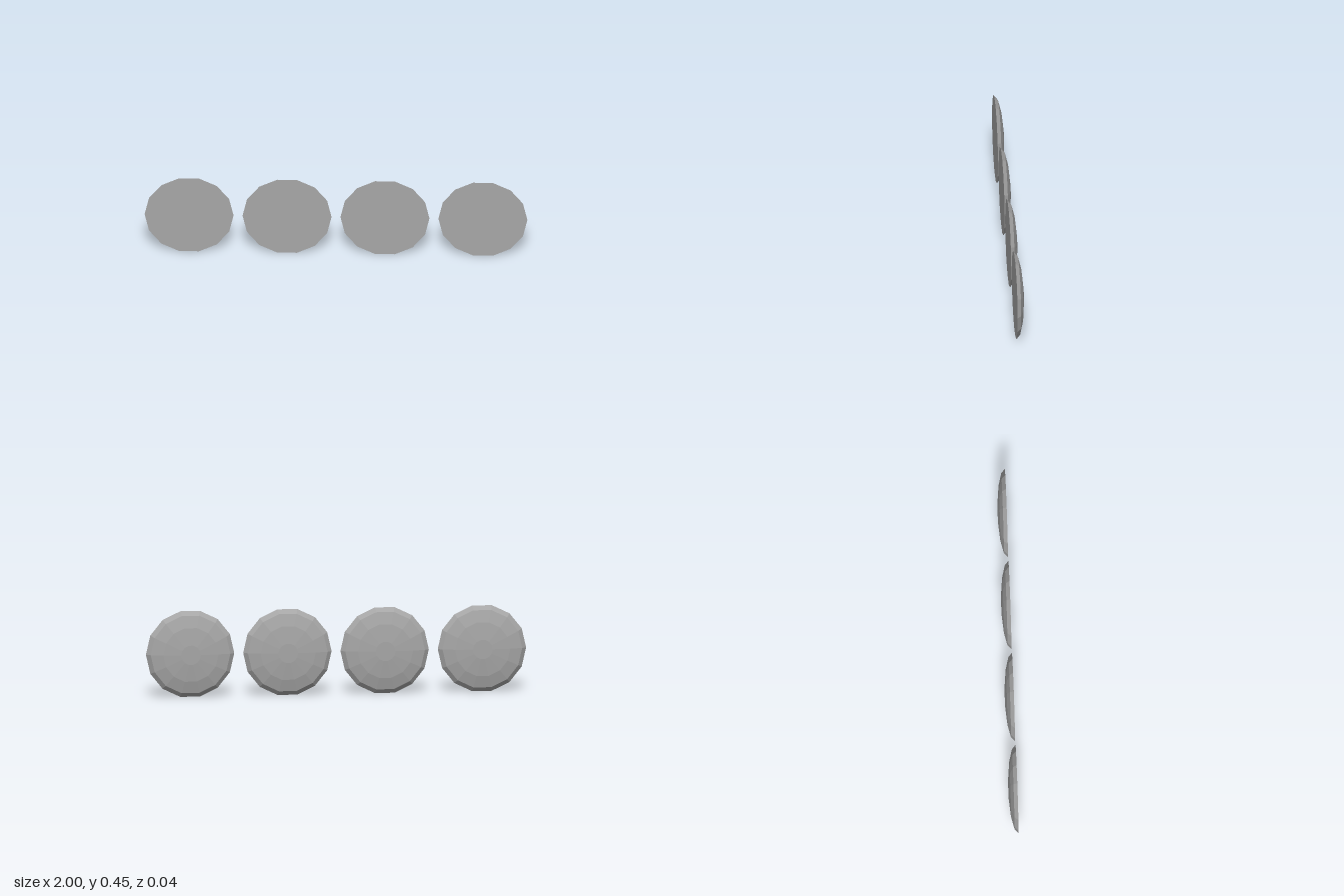
import * as THREE from 'three';

const SIDES = 14;
const RADIUS = 0.2325;
const DEPTH = 0.046; // full half-axis of the flattened dome
const FRONT_Z = 0.0225;
const SPACING = 0.5117;

// Flattened half sphere with a flat front face and a small flat crown at the back
function discGeometry() {
  const profile = [new THREE.Vector2(0, 0)];
  for (let i = 0; i < 4; i++) {
    const a = (i * 2 * Math.PI) / SIDES;
    profile.push(new THREE.Vector2(RADIUS * Math.cos(a), DEPTH * Math.sin(a)));
  }
  profile.push(new THREE.Vector2(0, profile[4].y));
  const geometry = new THREE.LatheGeometry(profile, SIDES, Math.PI / 2);
  geometry.rotateX(-Math.PI / 2); // dome points to -z
  return geometry;
}

export function createModel() {
  const group = new THREE.Group();
  group.name = 'discRow';

  const grey = new THREE.MeshStandardMaterial({ color: 0xa6a6a6, flatShading: true });
  grey.name = 'grey';

  // Four identical discs in a row
  const geometry = discGeometry();
  for (let i = 0; i < 4; i++) {
    const disc = new THREE.Mesh(geometry, grey);
    disc.name = `disc${i + 1}`;
    disc.position.set((i - 1.5) * SPACING, RADIUS * Math.cos(Math.PI / SIDES), FRONT_Z);
    group.add(disc);
  }
  return group;
}
